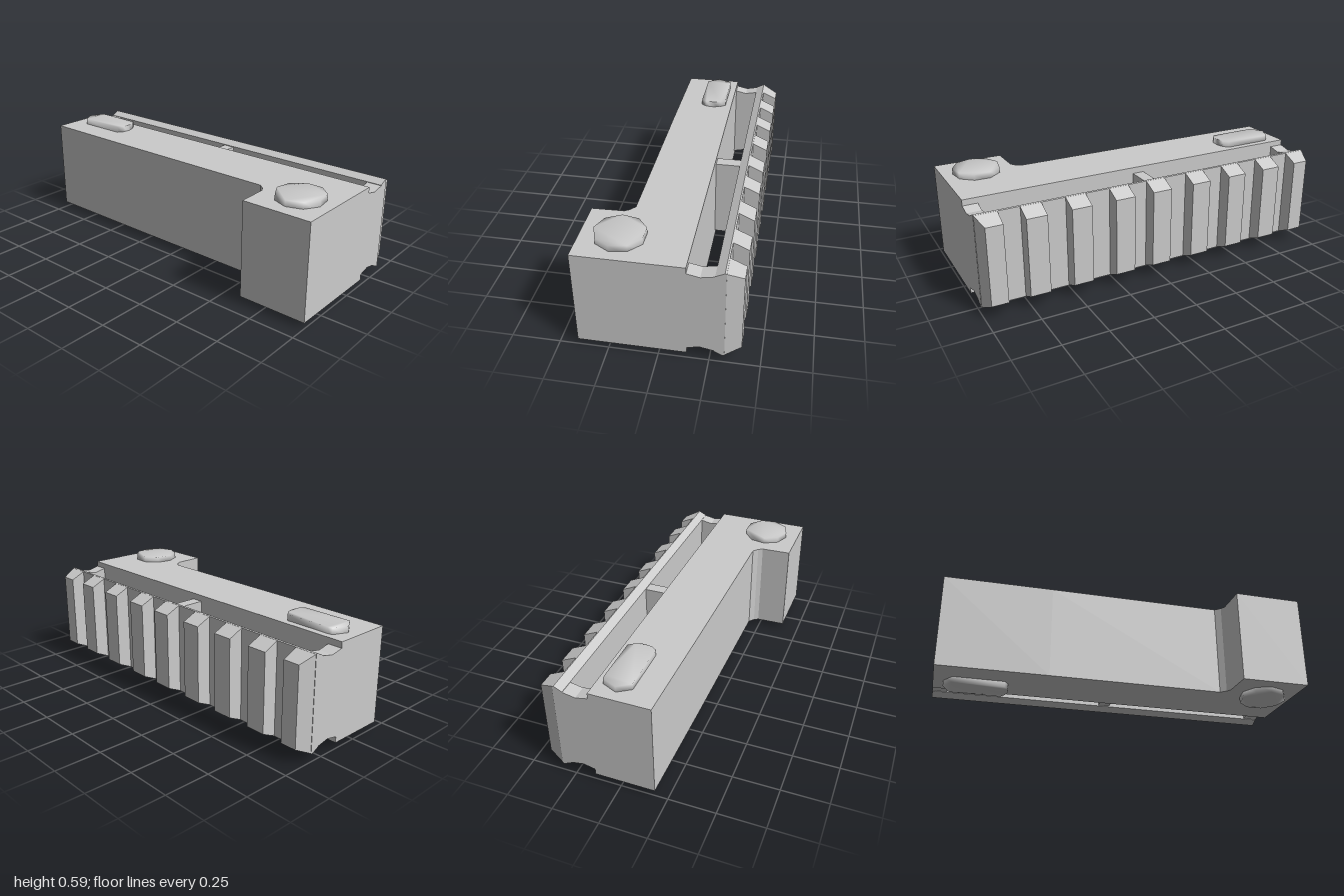
import * as THREE from 'three';
import { mergeVertices } from 'three/addons/utils/BufferGeometryUtils.js';

const grey = new THREE.MeshStandardMaterial({ color: 0xcccccc });

function shapeOf(points) {
  return new THREE.Shape(points.map(([a, b]) => new THREE.Vector2(a, b)));
}

// Footprint of [x, z] points raised from y0 to y1
function upright(points, y0, y1) {
  const g = new THREE.ExtrudeGeometry(shapeOf(points.map(([x, z]) => [x, -z])),
    { depth: y1 - y0, bevelEnabled: false });
  return g.rotateX(-Math.PI / 2).translate(0, y0, 0);
}

// Cross-section of [z, y] points run along x from x0 to x1
function along(points, x0, x1) {
  const g = new THREE.ExtrudeGeometry(shapeOf(points.map(([z, y]) => [-z, y])),
    { depth: x1 - x0, bevelEnabled: false });
  return g.rotateY(Math.PI / 2).translate(x0, 0, 0);
}

// Weld corners so that shading flows over the edges
function soften(g) {
  g.deleteAttribute('normal');
  g.deleteAttribute('uv');
  const welded = mergeVertices(g);
  welded.computeVertexNormals();
  return welded;
}

export function createModel() {
  const model = new THREE.Group();
  const add = (name, geometry) => {
    const mesh = new THREE.Mesh(geometry, grey);
    mesh.name = name;
    model.add(mesh);
  };

  // Main bar with the forward block on its left end
  add('body', upright([
    [-1, -0.14], [1, -0.14], [1, 0.405], [0.62, 0.405], [0.615, 0.24],
    [0.6, 0.215], [0.57, 0.19], [-0.4, 0.187], [-1, 0.182],
  ], 0.035, 0.561));

  // Pins that stand out above and below the body
  const round = [];
  for (let i = 0; i < 9; i++) {
    const a = (i / 9) * Math.PI * 2 + 0.2;
    round.push([0.818 + 0.127 * Math.cos(a), 0.207 + 0.129 * Math.sin(a)]);
  }
  const oblong = [
    [-0.945, -0.02], [-0.91, -0.1], [-0.88, -0.103], [-0.63, -0.103], [-0.605, -0.07],
    [-0.595, -0.03], [-0.6, 0.015], [-0.62, 0.045], [-0.9, 0.047],
  ];
  for (const [side, y0, y1] of [['top', 0.54, 0.594], ['bottom', 0.003, 0.055]]) {
    add(side + 'RoundPin', soften(upright(round, y0, y1)));
    add(side + 'OblongPin', soften(upright(oblong, y0, y1)));
  }

  // Ribs joining the body to the rail
  const waisted = [[-0.135, 0.067], [-0.205, 0.082], [-0.28, 0.067],
    [-0.28, 0.53], [-0.205, 0.515], [-0.135, 0.53]];
  const straight = [[-0.135, 0.07], [-0.28, 0.07], [-0.28, 0.527], [-0.135, 0.527]];
  add('rightRib', along(waisted, -1, -0.92));
  add('middleRib', along(straight, -0.025, 0.04));
  add('leftRib', along(waisted, 0.92, 1));

  // Rail base, wider towards the teeth
  add('railBase', along([[-0.272, 0.066], [-0.316, 0.043], [-0.324, 0.046],
    [-0.324, 0.55], [-0.316, 0.553], [-0.272, 0.531]], -1, 1));

  // Teeth, with the outer ends sloping in towards the tip
  const teeth = [[-1, -0.88], [-0.765, -0.655], [-0.53, -0.42], [-0.295, -0.185], [-0.05, 0.06],
    [0.17, 0.28], [0.415, 0.525], [0.655, 0.765], [0.88, 1]];
  for (const [x0, x1] of teeth) {
    const g = along([[-0.318, 0.044], [-0.405, 0.085], [-0.405, 0.512], [-0.318, 0.552]], x0, x1);
    const p = g.attributes.position;
    for (let i = 0; i < p.count; i++) {
      if (p.getZ(i) < -0.4 && Math.abs(p.getX(i)) > 0.99) p.setX(i, Math.sign(p.getX(i)) * 0.97);
    }
    g.computeVertexNormals();
    add('railTooth', g);
  }
  return model;
}
